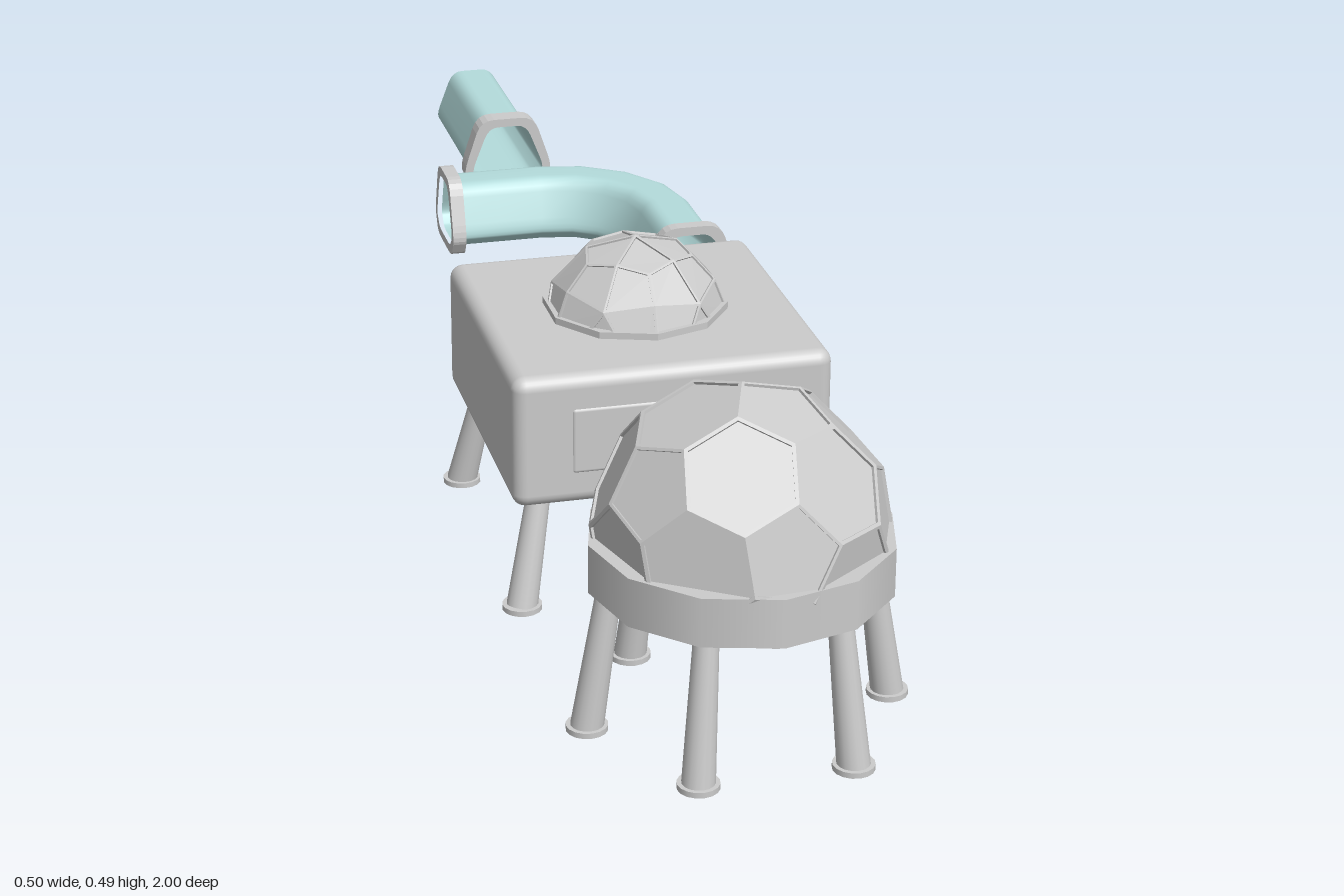
import * as THREE from 'three';
import { RoundedBoxGeometry } from 'three/addons/geometries/RoundedBoxGeometry.js';

const V = (x, y, z) => new THREE.Vector3(x, y, z);
const grey = new THREE.MeshStandardMaterial({ color: 0xcccccc });
const flatGrey = new THREE.MeshStandardMaterial({ color: 0xcccccc, flatShading: true });
const teal = new THREE.MeshStandardMaterial({ color: 0xb4dcdc, side: THREE.DoubleSide });

function add(parent, name, geometry, material, x = 0, y = 0, z = 0) {
  const mesh = new THREE.Mesh(geometry, material);
  mesh.name = name;
  mesh.position.set(x, y, z);
  parent.add(mesh);
  return mesh;
}

// Icosahedron corners with one corner along "pole" and the next one towards "lean"
function icosaCorners(pole, lean) {
  const e3 = pole.clone().normalize();
  const e1 = lean.clone().addScaledVector(e3, -lean.dot(e3)).normalize();
  const e2 = e3.clone().cross(e1);
  const half = [e3];
  for (let k = 0; k < 5; k++) {
    const a = k * Math.PI * 0.4;
    half.push(e3.clone().multiplyScalar(0.4472)
      .addScaledVector(e1, 0.8944 * Math.cos(a)).addScaledVector(e2, 0.8944 * Math.sin(a)));
  }
  return [...half, ...half.map(v => v.clone().negate())];
}

const near = (a, b) => a !== b && a.distanceTo(b) < 1.1;
const mean = pts => pts.reduce((s, p) => s.add(p), V(0, 0, 0)).divideScalar(pts.length);

// All triples of neighbouring corners
function triples(c) {
  const out = [];
  for (let i = 0; i < 12; i++) for (let j = i + 1; j < 12; j++) for (let k = j + 1; k < 12; k++)
    if (near(c[i], c[j]) && near(c[j], c[k]) && near(c[i], c[k])) out.push([c[i], c[j], c[k]]);
  return out;
}

// Pentagon and hexagon panels
function ballFaces(c) {
  const cut = (a, b) => a.clone().multiplyScalar(2).add(b).divideScalar(3 * 0.8677);
  const pents = c.map(a => c.filter(b => near(a, b)).map(b => cut(a, b)));
  const hexes = triples(c).map(t => t.flatMap(a => t.filter(b => b !== a).map(b => cut(a, b))));
  return [...pents, ...hexes];
}

// Kite panels
function kiteFaces(c) {
  return triples(c).flatMap(t => t.map(a => {
    const mids = t.filter(b => b !== a).map(b => a.clone().add(b).normalize());
    return [a.clone(), mids[0], mean(t).normalize(), mids[1]];
  }));
}

// Faceted dome: each face has a raised frame around a sunken panel, cut off below floorY
function domeGeometry(faces, radius, centre, floorY, inset, depth) {
  const pos = [];
  const emit = poly => {
    const kept = [];
    poly.forEach((p, i) => {
      const q = poly[(i + 1) % poly.length];
      if (p.y >= floorY) kept.push(p);
      if ((p.y >= floorY) !== (q.y >= floorY)) kept.push(p.clone().lerp(q, (floorY - p.y) / (q.y - p.y)));
    });
    for (let i = 1; i < kept.length - 1; i++)
      for (const p of [kept[0], kept[i], kept[i + 1]]) pos.push(p.x, p.y, p.z);
  };
  for (const face of faces) {
    const mid = mean(face), n = mid.clone().normalize();
    const u = face[0].clone().sub(mid), w = n.clone().cross(u);
    const angle = p => Math.atan2(p.clone().sub(mid).dot(w), p.clone().sub(mid).dot(u));
    const place = p => p.clone().multiplyScalar(radius).add(centre);
    const sorted = [...face].sort((a, b) => angle(a) - angle(b));
    const outer = sorted.map(place);
    const inner = sorted.map(p => place(p.clone().lerp(mid, inset)));
    const sunk = inner.map(p => p.clone().addScaledVector(n, -depth));
    outer.forEach((p, i) => {
      const j = (i + 1) % outer.length;
      emit([p, outer[j], inner[j], inner[i]]);
      emit([inner[i], inner[j], sunk[j], sunk[i]]);
    });
    emit(sunk);
  }
  const g = new THREE.BufferGeometry();
  g.setAttribute('position', new THREE.Float32BufferAttribute(pos, 3));
  g.computeVertexNormals();
  return g;
}

// Splayed leg with a flat foot
function addLeg(parent, top, foot) {
  const leg = new THREE.Group();
  leg.name = 'leg';
  const dir = top.clone().sub(foot);
  const post = add(leg, 'legPost', new THREE.CylinderGeometry(0.017, 0.023, dir.length(), 16), grey);
  post.position.copy(top).add(foot).multiplyScalar(0.5);
  post.quaternion.setFromUnitVectors(V(0, 1, 0), dir.normalize());
  add(leg, 'foot', new THREE.CylinderGeometry(0.029, 0.029, 0.008, 16), grey, foot.x, 0.004, foot.z);
  parent.add(leg);
}

// Tunnel cross-section: rounded, narrow at the top and widest low down
function tunnelShape(grow = 0) {
  const right = [[0.035, 0.051], [0.066, -0.03], [0.045, -0.052]];
  const pts = [...right, ...right.map(([x, y]) => [-x, y]).reverse()]
    .map(([x, y]) => new THREE.Vector2(x + Math.sign(x) * grow, y + Math.sign(y + 0.03) * grow * (y === -0.03 ? 0 : 1) ));
  const shape = new THREE.Shape();
  pts.forEach((p, i) => {
    const a = pts[(i + 5) % 6], b = pts[(i + 1) % 6];
    const s = p.clone().lerp(a, 0.25), e = p.clone().lerp(b, 0.25);
    i ? shape.lineTo(s.x, s.y) : shape.moveTo(s.x, s.y);
    shape.quadraticCurveTo(p.x, p.y, e.x, e.y);
  });
  shape.closePath();
  return shape;
}

const TUNNEL_Y = 0.286;

// Open tunnel swept along a path of [x, z] points
function tunnelGeometry(path) {
  const ring = tunnelShape().getPoints(4).slice(0, -1), n = ring.length;
  const pos = [], index = [];
  path.forEach(([x, z], i) => {
    const a = path[Math.max(i - 1, 0)], b = path[Math.min(i + 1, path.length - 1)];
    const len = Math.hypot(b[0] - a[0], b[1] - a[1]);
    const sx = -(b[1] - a[1]) / len, sz = (b[0] - a[0]) / len;
    for (const p of ring) pos.push(x + sx * p.x, TUNNEL_Y + p.y, z + sz * p.x);
    if (i) for (let k = 0; k < n; k++) {
      const p = (i - 1) * n + k, q = (i - 1) * n + (k + 1) % n;
      index.push(p, p + n, q, q, p + n, q + n);
    }
  });
  const g = new THREE.BufferGeometry();
  g.setAttribute('position', new THREE.Float32BufferAttribute(pos, 3));
  g.setIndex(index);
  g.computeVertexNormals();
  return g;
}

// Hollow collar around a tunnel end
function addCollar(parent, x, z, depth, turn = 0) {
  const shape = tunnelShape(0.012);
  shape.holes.push(new THREE.Path(tunnelShape(-0.002).getPoints(4)));
  const g = new THREE.ExtrudeGeometry(shape, { depth, bevelEnabled: false, curveSegments: 4 });
  g.translate(0, 0, -depth / 2);
  add(parent, 'tunnelCollar', g, grey, x, TUNNEL_Y, z).rotation.y = turn;
}

export function createModel() {
  const model = new THREE.Group();
  const part = (name, z = 0) => {
    const g = new THREE.Group();
    g.name = name;
    g.position.z = z;
    model.add(g);
    return g;
  };

  // Round habitat with a large dome on six legs
  const round = part('domeHabitat', 0.79);
  const ball = ballFaces(icosaCorners(V(0.065, 0.217, 0.974), V(0.2, 0.95, 0.235)));
  add(round, 'largeDome', domeGeometry(ball, 0.205, V(0, 0.28, 0), 0.23, 0.07, 0.004), flatGrey);
  add(round, 'baseRing', new THREE.CylinderGeometry(0.21, 0.21, 0.07, 12), grey, 0, 0.24, 0);
  for (let i = 0; i < 6; i++) {
    const a = i * Math.PI / 3, c = Math.cos(a), s = Math.sin(a);
    addLeg(round, V(0.18 * c, 0.215, 0.18 * s), V(0.212 * c, 0.004, 0.212 * s));
  }

  // Square habitat with a small dome on four legs
  const square = part('squareHabitat', 0.208);
  add(square, 'body', new RoundedBoxGeometry(0.47, 0.2, 0.47, 3, 0.02), grey, 0, 0.263, 0);
  const kites = kiteFaces(icosaCorners(V(0, 1, 0), V(0, 0, -1)));
  add(square, 'smallDome', domeGeometry(kites, 0.139, V(0, 0.336, 0), 0.355, 0.1, 0.003), flatGrey);
  add(square, 'smallDomeRing', new THREE.CylinderGeometry(0.137, 0.137, 0.014, 10), flatGrey, 0, 0.366, 0);
  for (const s of [-1, 1]) {
    add(square, 'sidePanel', new RoundedBoxGeometry(0.3, 0.1, 0.012, 2, 0.005), grey, 0, 0.263, s * 0.231);
    for (const t of [-1, 1]) addLeg(square, V(s * 0.187, 0.18, t * 0.187), V(s * 0.222, 0.004, t * 0.22));
  }

  // Curved tunnel
  const bend = part('curvedTunnel');
  const path = [[-0.15, -0.455], [-0.08, -0.455]];
  for (let i = 0; i <= 4; i++) {
    const a = i * Math.PI / 8;
    path.push([0.175 * Math.sin(a), -0.28 - 0.175 * Math.cos(a)]);
  }
  path.push([0.175, -0.2], [0.175, -0.125]);
  add(bend, 'curvedTube', tunnelGeometry(path), teal);
  addCollar(bend, -0.147, -0.455, 0.022, Math.PI / 2);
  addCollar(bend, 0.175, -0.127, 0.022);

  // Straight tunnel
  const straight = part('straightTunnel');
  add(straight, 'straightTube', tunnelGeometry([[0, -1], [0, -0.85], [0, -0.695]]), teal);
  addCollar(straight, 0, -0.707, 0.034);

  return model;
}
